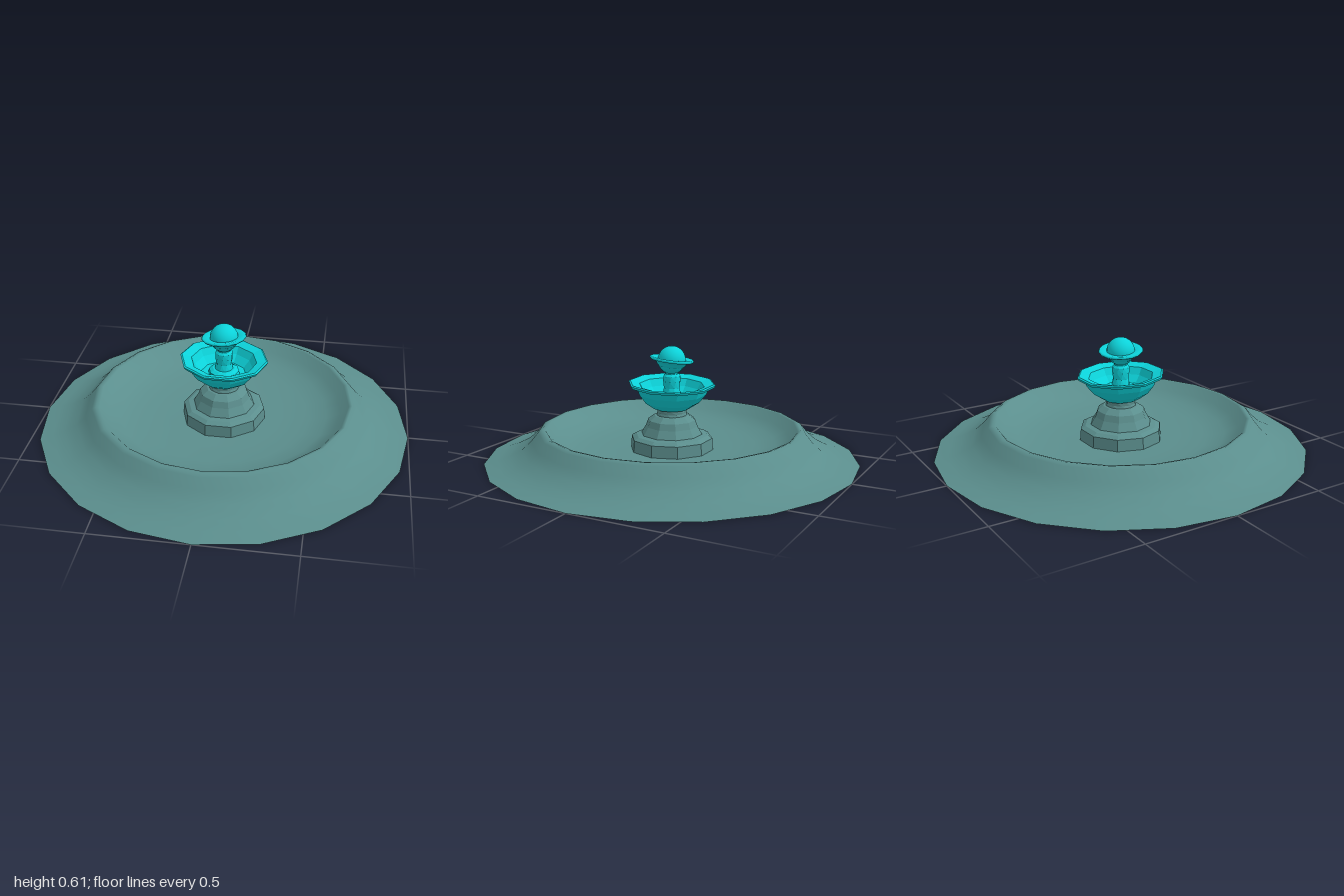
import * as THREE from 'three';

const stone = new THREE.MeshStandardMaterial({ color: 0x5b8e8d });
stone.name = 'weatheredStone';
const cyan = new THREE.MeshStandardMaterial({ color: 0x0cd3da });
cyan.name = 'brightCyan';

// Turned part: profile runs from the outside bottom upwards; flat gives faceted sides
function turned(name, profile, sides, material, { flat = false, start = 0, twist = 0 } = {}) {
  const points = profile.map(([r, y]) => new THREE.Vector2(r, y));
  let geometry = new THREE.LatheGeometry(points, sides, start);
  if (twist) {
    const pos = geometry.attributes.position;
    const v = new THREE.Vector3();
    const up = new THREE.Vector3(0, 1, 0);
    const y0 = profile[0][1];
    const height = profile[profile.length - 1][1] - y0;
    for (let i = 0; i < pos.count; i++) {
      v.fromBufferAttribute(pos, i);
      v.applyAxisAngle(up, (twist * (v.y - y0)) / height);
      pos.setXYZ(i, v.x, v.y, v.z);
    }
  }
  if (flat) {
    geometry = geometry.toNonIndexed();
    geometry.computeVertexNormals();
  }
  const mesh = new THREE.Mesh(geometry, material);
  mesh.name = name;
  return mesh;
}

export function createModel() {
  const model = new THREE.Group();
  model.name = 'fountain';
  const faceted = { flat: true, start: Math.PI / 2 };

  // Wide basin with a flared skirt and a shallow dished floor
  model.add(turned('basin', [
    [1, 0], [0.93, 0.016], [0.87, 0.035], [0.8, 0.07], [0.75, 0.115], [0.712, 0.162],
    [0.69, 0.174], [0.672, 0.17], [0.63, 0.125], [0.56, 0.088], [0.46, 0.066],
    [0.3, 0.053], [0, 0.05],
  ], 20, stone));

  // Closed underside
  const underside = new THREE.Mesh(new THREE.CircleGeometry(1, 20), cyan);
  underside.name = 'underside';
  underside.rotation.x = Math.PI / 2;
  model.add(underside);

  // Stepped pedestal and twisted lower column
  model.add(turned('pedestal', [
    [0.225, 0.045], [0.22, 0.115], [0.195, 0.13], [0.165, 0.135],
    [0.14, 0.178], [0.128, 0.212], [0.095, 0.236], [0.06, 0.24],
  ], 10, stone, faceted));
  model.add(turned('lowerColumn', [
    [0.085, 0.225], [0.078, 0.25], [0.078, 0.27], [0.085, 0.295],
  ], 10, stone, { ...faceted, twist: 0.5 }));

  // Ten-sided bowl, very slightly tilted
  const bowl = turned('bowl', [
    [0, -0.125], [0.1, -0.125], [0.15, -0.09], [0.185, -0.045], [0.2, -0.012],
    [0.228, -0.006], [0.235, 0.008], [0.226, 0.013], [0.175, -0.002],
    [0.155, -0.04], [0.12, -0.078], [0, -0.085],
  ], 10, cyan, faceted);
  bowl.position.y = 0.4;
  bowl.rotation.set(-0.03, 0, -0.02);
  model.add(bowl);

  // Collar and slender upper column rising from the bowl
  model.add(turned('collar', [
    [0.088, 0.305], [0.08, 0.34], [0.06, 0.352], [0, 0.354],
  ], 10, cyan, faceted));
  model.add(turned('upperColumn', [
    [0.05, 0.34], [0.042, 0.385], [0.046, 0.42], [0.046, 0.448], [0.036, 0.46],
    [0.034, 0.48], [0.045, 0.505],
  ], 10, cyan, { ...faceted, twist: 0.6 }));

  // Tilted saucer
  const saucer = turned('saucer', [
    [0, -0.048], [0.06, -0.045], [0.078, -0.028], [0.085, -0.012], [0.112, -0.008],
    [0.119, 0.001], [0.112, 0.008], [0.085, 0.004], [0.06, -0.005], [0, -0.008],
  ], 16, cyan);
  saucer.position.y = 0.537;
  saucer.rotation.set(-0.09, 0, 0.09);
  model.add(saucer);

  // Crowning ball
  const ball = new THREE.Mesh(new THREE.SphereGeometry(0.075, 20, 14), cyan);
  ball.name = 'ball';
  ball.position.y = 0.533;
  model.add(ball);

  return model;
}
